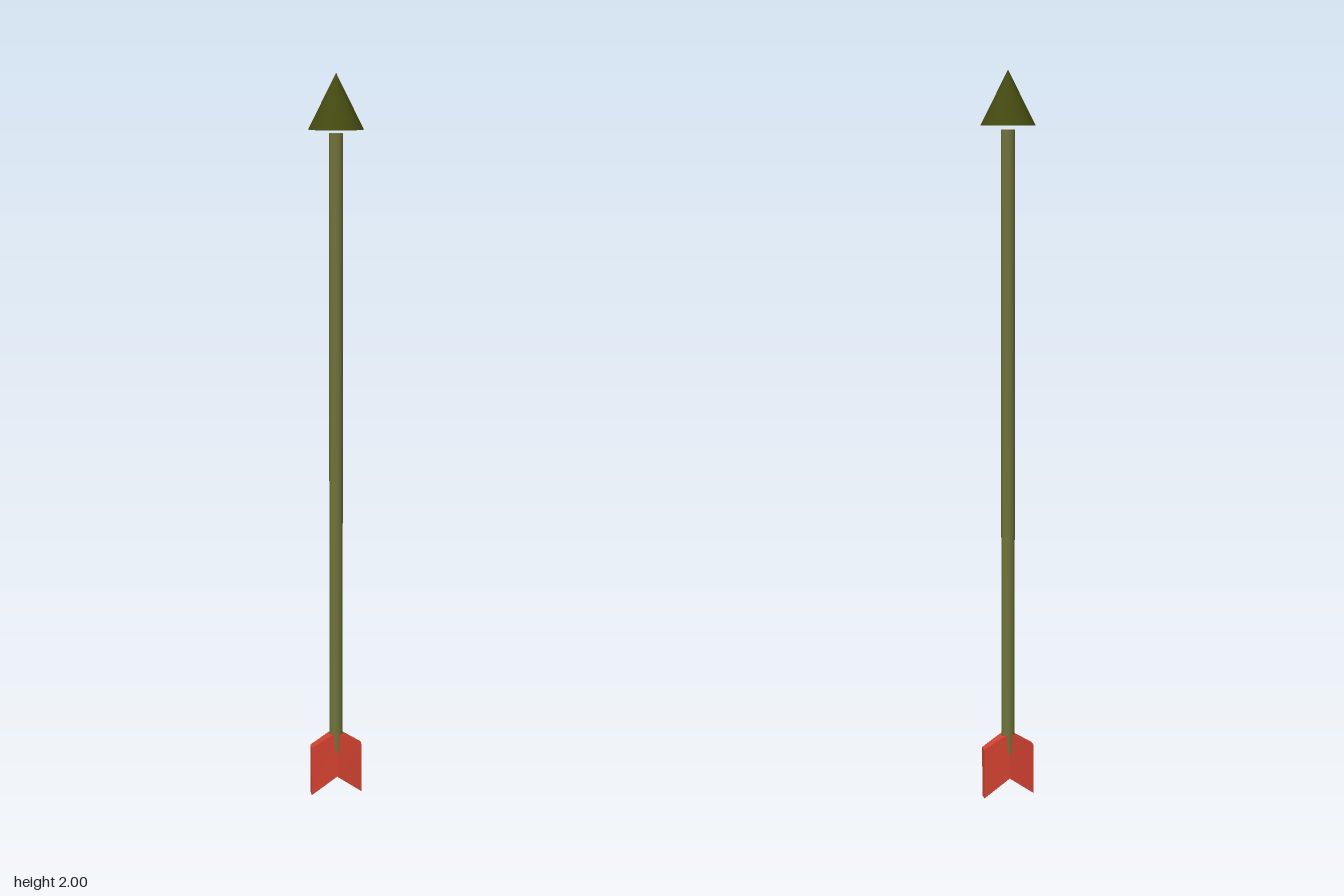
import * as THREE from 'three';

export function createModel() {
  const model = new THREE.Group();
  const add = (name, geometry, color, y = 0) => {
    const flatShading = name === 'fletching';
    const mesh = new THREE.Mesh(geometry, new THREE.MeshStandardMaterial({ color, flatShading }));
    mesh.name = name;
    mesh.position.y = y;
    model.add(mesh);
  };

  // Pointed head, floating a hair above the shaft
  add('arrowHead', new THREE.ConeGeometry(0.072, 0.142, 48), 0x444a10, 1.929);

  // Shaft, its lower end buried in the fletching
  const bottom = 0.1, top = 1.848;
  add('shaft', new THREE.CylinderGeometry(0.0185, 0.0185, top - bottom, 24), 0x6f733a, (top + bottom) / 2);

  // Chevron fletching: two halves meeting at the centre line
  const halves = [1, -1].map((s) => new THREE.Shape(
    [[0, 0.055], [0.072 * s, 0], [0.072 * s, 0.145], [0, 0.19]].map(([x, y]) => new THREE.Vector2(x, y))
  ));
  const fletching = new THREE.ExtrudeGeometry(halves, { depth: 1, bevelEnabled: false });
  const p = fletching.attributes.position;
  for (let i = 0; i < p.count; i++) {
    // Thick along the spine, thin at the outer edges
    const x = Math.abs(p.getX(i)), y = p.getY(i);
    const half = x > 0.01 ? 0.012 : y > 0.1 ? 0.0175 : 0.0195;
    p.setZ(i, p.getZ(i) > 0.5 ? half : -half);
  }
  fletching.computeVertexNormals();
  add('fletching', fletching, 0xd24230);

  return model;
}
